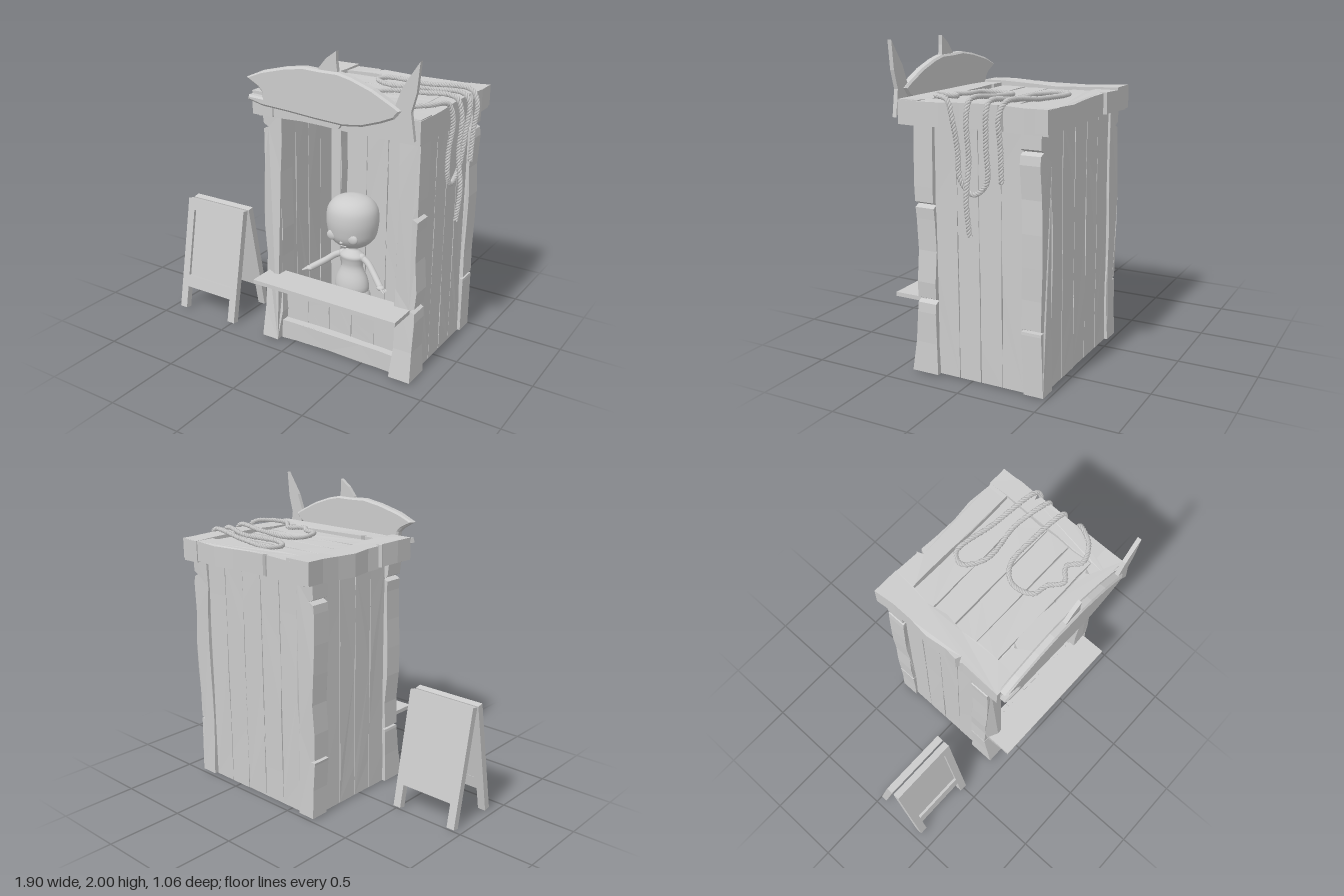
import * as THREE from 'three';

const V = (x, y, z) => new THREE.Vector3(x, y, z);
const grey = new THREE.MeshStandardMaterial({ color: 0xcccccc, side: THREE.DoubleSide });

let seed = 7;
const rnd = () => { seed = (seed * 16807) % 2147483647; return seed / 2147483647 - 0.5; };

function add(parent, name, geo, x = 0, y = 0, z = 0) {
  const m = new THREE.Mesh(geo, grey);
  m.name = name;
  m.position.set(x, y, z);
  parent.add(m);
  return m;
}

const toShape = pts => new THREE.Shape(pts.map(p => new THREE.Vector2(p[0], p[1])));

// Orientation of a board: length along y, x or z
const AXES = {
  y: [V(1, 0, 0), V(0, 1, 0), V(0, 0, 1)],
  x: [V(0, 0, 1), V(1, 0, 0), V(0, 1, 0)],   // wide side lies flat
  xUp: [V(0, -1, 0), V(1, 0, 0), V(0, 0, 1)], // wide side stands upright
  z: [V(1, 0, 0), V(0, 0, 1), V(0, -1, 0)],
};

// Rough-hewn board with wavy edges and small triangular notches [side, position along length]
function board(len, w, d, axis = 'y', { amp = 0.006, notches = [], flare = 0, rows = 7 } = {}) {
  const edge = side => {
    const pts = [];
    for (let i = 0; i <= rows; i++) pts.push([side * w / 2 + rnd() * 2 * amp, len * i / rows]);
    for (const [s, at] of notches) {
      if (s !== side) continue;
      const y = len * at, x = side * w / 2;
      pts.push([x, y - 0.017], [x - side * 0.035, y], [x, y + 0.017]);
    }
    return pts.sort((a, b) => a[1] - b[1]);
  };
  const shape = toShape([...edge(1), ...edge(-1).reverse()]);
  const geo = new THREE.ExtrudeGeometry(shape, { depth: d, bevelEnabled: false });
  geo.translate(0, 0, -d / 2);
  const p = geo.attributes.position, phase = rnd() * 6;
  for (let i = 0; i < p.count; i++) {
    const y = p.getY(i), z = p.getZ(i);
    let dz = Math.sin(y * 7 + phase) * amp * 0.6;
    if (z > 0) dz += flare * Math.max(0, 1 - y / 0.3);
    p.setZ(i, z + dz);
  }
  geo.applyMatrix4(new THREE.Matrix4().makeBasis(...AXES[axis]));
  geo.computeVertexNormals();
  return geo;
}

function buildBooth() {
  const g = new THREE.Group();
  g.name = 'booth';
  // Corner posts
  for (const s of [-1, 1]) {
    const x = 0.32 + s * 0.475;
    add(g, 'frontPost', board(1.54, 0.13, 0.125, 'y', { amp: 0.01, flare: 0.055, rows: 8, notches: [[s, s < 0 ? 0.25 : 0.68], [s, s < 0 ? 0.93 : 0.3]] }), x, 0.01, 0.283);
    add(g, 'backPost', board(1.54, 0.13, 0.125, 'y', { amp: 0.01, rows: 8, notches: [[s, 0.25], [s, 0.92]] }), x, 0.01, -0.413);
  }
  // Back wall and low front wall
  for (let i = 0; i < 5; i++) {
    const x = 0.32 + (i - 2) * 0.164;
    add(g, 'backPlank', board(1.53, 0.16, 0.03, 'y', { amp: 0.003 }), x, 0.01, -0.445);
    add(g, 'frontPlank', board(0.44, 0.16, 0.03, 'y', { amp: 0.003 }), x, 0.01, 0.29);
  }
  // Side walls
  for (const s of [-1, 1]) for (let i = 0; i < 4; i++) {
    const geo = board(1.53, 0.141, 0.03, 'y', { amp: 0.003 }).rotateY(Math.PI / 2);
    add(g, 'sidePlank', geo, 0.32 + s * 0.5, 0.01, -0.065 + (i - 1.5) * 0.145);
  }
  // Skirting board and counter
  add(g, 'skirtingBoard', board(0.83, 0.125, 0.05, 'xUp', { amp: 0.006 }), -0.095, 0.075, 0.33);
  add(g, 'counter', new THREE.BoxGeometry(1.02, 0.026, 0.22), 0.32, 0.463, 0.42);
  // Roof frame
  add(g, 'frontBeam', board(1.09, 0.125, 0.135, 'x', { amp: 0.01, notches: [[-1, 0.23], [-1, 0.82]] }), -0.2, 1.6, 0.35);
  add(g, 'backBeam', board(1.09, 0.14, 0.13, 'x', { amp: 0.01, notches: [[-1, 0.3]] }), -0.2, 1.6, -0.452);
  add(g, 'leftBeam', board(0.955, 0.16, 0.145, 'z', { amp: 0.014, notches: [[-1, 0.68]] }), -0.155, 1.603, -0.53);
  add(g, 'rightBeam', board(0.95, 0.135, 0.14, 'z', { amp: 0.01, notches: [[1, 0.3]] }), 0.82, 1.6, -0.525);
  // Roof planks
  for (let i = 0; i < 4; i++)
    add(g, 'roofPlank', board(0.86, 0.158, 0.03, 'x', { amp: 0.004 }), -0.09, 1.635, -0.05 + (i - 1.5) * 0.166);
  return g;
}

function buildFishSign() {
  const g = new THREE.Group();
  g.name = 'fishSign';
  const body = [[-0.235, 1.775], [-0.12, 1.825], [0.04, 1.865], [0.17, 1.885], [0.29, 1.88], [0.4, 1.88], [0.49, 1.86],
    [0.62, 1.815], [0.76, 1.745], [0.8, 1.72], [0.76, 1.67], [0.68, 1.635], [0.56, 1.595], [0.44, 1.58], [0.25, 1.59],
    [0.06, 1.605], [-0.12, 1.615], [-0.23, 1.64], [-0.22, 1.67], [-0.12, 1.665], [-0.125, 1.7], [-0.15, 1.725]];
  const fins = {
    dorsalFin: [[0.26, 1.86], [0.27, 1.89], [0.32, 1.95], [0.385, 1.997], [0.385, 1.94], [0.395, 1.86]],
    bellyFin: [[0.25, 1.61], [0.33, 1.575], [0.4, 1.555], [0.43, 1.6]],
    tailFin: [[0.75, 1.72], [0.8, 1.85], [0.9, 2.0], [0.885, 1.83], [0.855, 1.72], [0.88, 1.56], [0.82, 1.61], [0.75, 1.68]],
  };
  add(g, 'fishBody', new THREE.ExtrudeGeometry(toShape(body), {
    depth: 0.035, bevelSize: 0.012, bevelThickness: 0.011, bevelOffset: -0.012, bevelSegments: 1 }), 0, 0, 0.441);
  for (const [name, pts] of Object.entries(fins))
    add(g, name, new THREE.ExtrudeGeometry(toShape(pts), { depth: 0.026, bevelEnabled: false }), 0, 0, 0.446);
  return g;
}

// One long rope looped over the roof, made of three twisted strands
function buildRope() {
  const g = new THREE.Group();
  g.name = 'rope';
  const path = new THREE.CatmullRomCurve3([
    [0.915, 0.93, -0.05], [0.935, 1.15, -0.045], [0.91, 1.35, -0.05], [0.92, 1.6, -0.045], [0.88, 1.69, -0.045],
    [0.64, 1.685, -0.07], [0.42, 1.67, -0.06], [0.34, 1.665, 0.03], [0.37, 1.67, 0.16], [0.47, 1.67, 0.19],
    [0.55, 1.67, 0.25], [0.64, 1.67, 0.19], [0.72, 1.685, 0.25], [0.83, 1.695, 0.2], [0.895, 1.685, 0.09],
    [0.91, 1.58, 0.05], [0.885, 1.4, 0.035], [0.88, 1.24, 0.025], [0.87, 1.16, -0.05], [0.875, 1.23, -0.14],
    [0.9, 1.45, -0.155], [0.91, 1.64, -0.165], [0.87, 1.69, -0.165], [0.64, 1.675, -0.21], [0.36, 1.67, -0.19],
    [0.23, 1.67, -0.28], [0.27, 1.67, -0.355], [0.55, 1.675, -0.315], [0.88, 1.69, -0.265], [0.925, 1.62, -0.25],
    [0.91, 1.45, -0.25], [0.9, 1.25, -0.25]].map(p => V(...p)));
  const n = 900, pts = path.getSpacedPoints(n), fr = path.computeFrenetFrames(n);
  for (let k = 0; k < 3; k++) {
    const strand = pts.map((p, i) => {
      const a = i * 0.62 + k * Math.PI * 2 / 3;
      return p.clone().addScaledVector(fr.normals[i], 0.008 * Math.cos(a)).addScaledVector(fr.binormals[i], 0.008 * Math.sin(a));
    });
    add(g, 'ropeStrand', new THREE.TubeGeometry(new THREE.CatmullRomCurve3(strand), n, 0.0085, 5));
  }
  return g;
}

function buildSignboard() {
  const g = new THREE.Group();
  g.name = 'signboard';
  g.position.set(-0.713, 0, 0.2);
  const W = 0.2375, w = 0.183;
  for (const front of [true, false]) {
    const side = new THREE.Group(), leaf = new THREE.Group();
    side.name = front ? 'frontLeaf' : 'backLeaf';
    side.rotation.y = front ? 0 : Math.PI;
    leaf.position.set(0, 0.78, 0.05);
    leaf.rotation.x = -0.19;
    // Frame with two legs
    const shape = toShape([[-W, 0], [-W, -0.785], [-w, -0.785], [-w, -0.628], [w, -0.628], [w, -0.785], [W, -0.785], [W, 0]]);
    if (front) {
      shape.holes.push(new THREE.Path([[-w, -0.075], [w, -0.075], [w, -0.545], [-w, -0.545]].map(p => new THREE.Vector2(...p))));
      add(leaf, 'writingPanel', new THREE.BoxGeometry(2 * w, 0.47, 0.025), 0, -0.31, -0.031);
    }
    add(leaf, 'frame', new THREE.ExtrudeGeometry(shape, { depth: 0.045, bevelEnabled: false }), 0, 0, -0.045);
    side.add(leaf);
    g.add(side);
  }
  return g;
}

function buildDoll() {
  const g = new THREE.Group();
  g.name = 'shopkeeper';
  g.position.set(0.3, 0, 0.13);
  const lathe = pts => new THREE.LatheGeometry(new THREE.SplineCurve(pts.map(p => new THREE.Vector2(...p))).getPoints(32), 32);
  const ball = (name, r, pos, scale) => add(g, name, new THREE.SphereGeometry(r, 20, 14), ...pos).scale.set(...scale);
  // Head and torso
  add(g, 'head', lathe([[0, 0.677], [0.05, 0.683], [0.105, 0.71], [0.147, 0.755], [0.163, 0.81], [0.17, 0.88],
    [0.158, 0.95], [0.115, 1.0], [0.05, 1.023], [0, 1.026]])).scale.z = 0.93;
  add(g, 'torso', lathe([[0, 0.32], [0.07, 0.33], [0.115, 0.39], [0.108, 0.46], [0.074, 0.54], [0.078, 0.59],
    [0.085, 0.622], [0.05, 0.65], [0.03, 0.665], [0.028, 0.7]])).scale.z = 0.75;
  // Face
  add(g, 'mouth', new THREE.CapsuleGeometry(0.005, 0.035, 4, 8).rotateZ(Math.PI / 2), 0, 0.72, 0.11);
  ball('nose', 0.012, [0, 0.752, 0.135], [1, 0.8, 1]);
  for (const s of [-1, 1]) {
    ball('eye', 0.036, [s * 0.075, 0.785, 0.125], [1, 0.9, 0.5]);
    // Arms and hands
    const arm = new THREE.CatmullRomCurve3([V(s * 0.07, 0.618, 0), V(s * 0.12, 0.595, 0.01), V(s * 0.18, 0.55, 0.04), V(s * 0.255, 0.5, 0.09)]);
    add(g, 'arm', new THREE.TubeGeometry(arm, 20, 0.021, 12));
    ball('shoulder', 0.028, [s * 0.07, 0.615, 0], [1, 1, 1]);
    ball('hand', 0.024, [s * 0.263, 0.496, 0.095], [1.1, 0.65, 1]);
    for (let i = -1; i <= 1; i++) {
      const finger = new THREE.LineCurve3(V(s * 0.265, 0.497, 0.095 + i * 0.012), V(s * 0.3, 0.484, 0.11 + i * 0.018));
      add(g, 'finger', new THREE.TubeGeometry(finger, 1, 0.0065, 8));
    }
    // Legs and feet
    add(g, 'leg', lathe([[0.03, 0.42], [0.066, 0.36], [0.062, 0.26], [0.05, 0.18], [0.053, 0.12], [0.038, 0.04], [0, 0.03]]), s * 0.062);
    ball('foot', 0.05, [s * 0.066, 0.035, 0.025], [0.95, 0.7, 1.5]);
  }
  return g;
}

export function createModel() {
  const model = new THREE.Group();
  model.name = 'marketBooth';
  model.add(buildBooth(), buildFishSign(), buildRope(), buildSignboard(), buildDoll());
  return model;
}
